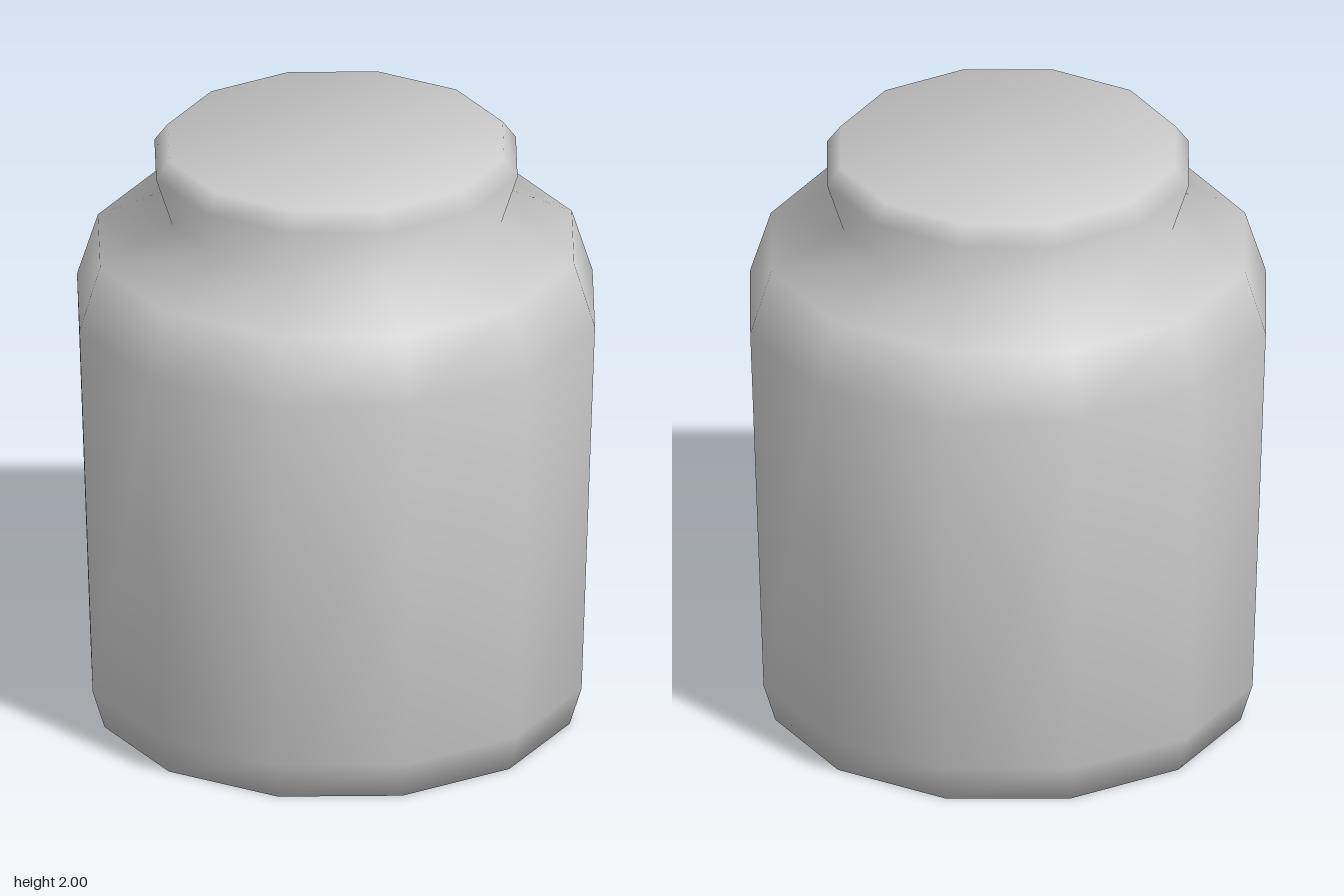
import * as THREE from 'three';

const SIDES = 12;

// Closed, smooth-shaded solid of revolution whose flat end caps share the rim normals.
function smoothTurned(profile) {
  const pts = profile.map(([r, y]) => new THREE.Vector2(r, y));
  const n = pts.length;

  // outward normals of the profile segments, with the two caps at the ends
  const segs = [new THREE.Vector2(0, -1)];
  for (let j = 0; j < n - 1; j++) {
    const d = pts[j + 1].clone().sub(pts[j]).normalize();
    segs.push(new THREE.Vector2(d.y, -d.x));
  }
  segs.push(new THREE.Vector2(0, 1));

  const position = [], normal = [], index = [];
  for (let i = 0; i < SIDES; i++) {
    const a = (i / SIDES) * Math.PI * 2;
    const s = Math.sin(a), c = Math.cos(a);
    const next = (i + 1) % SIDES;
    for (let j = 0; j < n; j++) {
      const m = segs[j].clone().add(segs[j + 1]).normalize();
      position.push(pts[j].x * s, pts[j].y, pts[j].x * c);
      normal.push(m.x * s, m.y, m.x * c);
      if (j < n - 1) {
        const p = i * n + j, q = next * n + j;
        index.push(p, q, q + 1, p, q + 1, p + 1);
      }
    }
    // caps fan out from the first rim corner
    if (i > 0 && i < SIDES - 1) {
      index.push(0, next * n, i * n);
      index.push(n - 1, i * n + n - 1, next * n + n - 1);
    }
  }

  const geometry = new THREE.BufferGeometry();
  geometry.setAttribute('position', new THREE.Float32BufferAttribute(position, 3));
  geometry.setAttribute('normal', new THREE.Float32BufferAttribute(normal, 3));
  geometry.setIndex(index);
  return geometry;
}

export function createModel() {
  const group = new THREE.Group();
  group.name = 'jar';

  // one continuous shell: foot, tapered body, shoulder, flared neck and closed top
  const jar = new THREE.Mesh(
    smoothTurned([
      [0.785, 0],
      [0.825, 0.13],
      [0.87, 1.43],
      [0.8, 1.65],
      [0.555, 1.77],
      [0.61, 1.94],
      [0.565, 2],
    ]),
    new THREE.MeshStandardMaterial({ color: 0xcccccc })
  );
  jar.name = 'jarBody';
  group.add(jar);
  return group;
}
